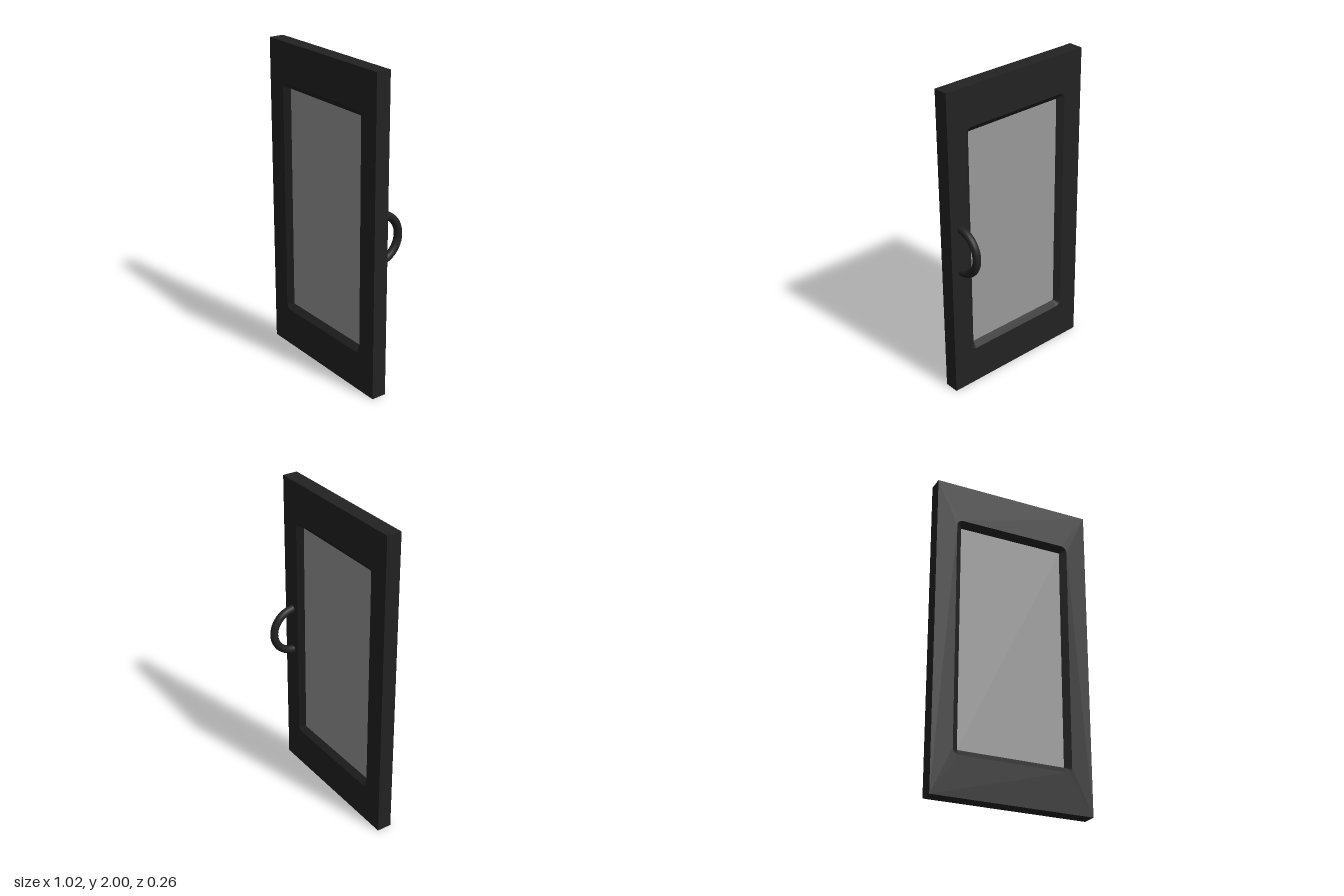
import * as THREE from 'three';

const black = new THREE.MeshStandardMaterial({ color: 0x222222 });
const grey = new THREE.MeshStandardMaterial({ color: 0x999999 });

const W = 1.02, H = 2, BACK = 0.035, FRONT = 0.13;
const MID = (BACK + FRONT) / 2;
// pane opening: half sizes, bevel width and bevel depth
const PX = 0.34, PY = 0.715, BEVEL = 0.038, RECESS = 0.03;

// Rounded loop lying `offset` outside the pane rectangle
function paneLoop(offset, seg = 4) {
  const pts = [];
  [[1, 1], [-1, 1], [-1, -1], [1, -1]].forEach(([sx, sy], q) => {
    for (let i = 0; i <= seg; i++) {
      const a = (q + i / seg) * Math.PI / 2;
      pts.push(new THREE.Vector2(sx * PX + offset * Math.cos(a), 1 + sy * PY + offset * Math.sin(a)));
    }
  });
  return pts;
}

// Sloping ring from the door face (zOut) down to the pane (zIn)
function bevelRing(zOut, zIn) {
  const outer = paneLoop(BEVEL), inner = paneLoop(0), pos = [];
  const n = outer.length;
  for (let i = 0; i < n; i++) {
    const j = (i + 1) % n;
    const a = [outer[i].x, outer[i].y, zOut], b = [outer[j].x, outer[j].y, zOut];
    const c = [inner[j].x, inner[j].y, zIn], d = [inner[i].x, inner[i].y, zIn];
    const quad = zOut > zIn ? [a, b, d, b, c, d] : [a, d, b, b, d, c];
    pos.push(...quad.flat());
  }
  const g = new THREE.BufferGeometry();
  g.setAttribute('position', new THREE.Float32BufferAttribute(pos, 3));
  g.computeVertexNormals();
  return g;
}

export function createModel() {
  const group = new THREE.Group();
  const add = (name, geometry, material) => {
    const mesh = new THREE.Mesh(geometry, material);
    mesh.name = name;
    group.add(mesh);
    return mesh;
  };

  // Door slab with the window opening cut out
  const slab = new THREE.Shape([
    new THREE.Vector2(-W / 2, 0), new THREE.Vector2(W / 2, 0),
    new THREE.Vector2(W / 2, H), new THREE.Vector2(-W / 2, H),
  ]);
  slab.holes.push(new THREE.Path(paneLoop(BEVEL).reverse()));
  const frame = new THREE.ExtrudeGeometry(slab, { depth: FRONT - BACK, bevelEnabled: false });
  add('doorFrame', frame.translate(0, 0, BACK), black);

  // Bevelled edging on both faces
  add('frontBevel', bevelRing(FRONT, FRONT - RECESS), black);
  add('backBevel', bevelRing(BACK, BACK + RECESS), black);

  // Window pane
  add('windowPane', new THREE.BoxGeometry(PX * 2, PY * 2, FRONT - BACK - RECESS * 2), grey)
    .position.set(0, 1, MID);

  // Half-ring pull handle on the back
  const ring = new THREE.TorusGeometry(0.145, 0.025, 16, 32, Math.PI);
  ring.rotateZ(Math.PI / 2).rotateY(-Math.PI / 2);
  add('handle', ring, black).position.set(0.435, 0.99, 0.042);

  return group;
}
